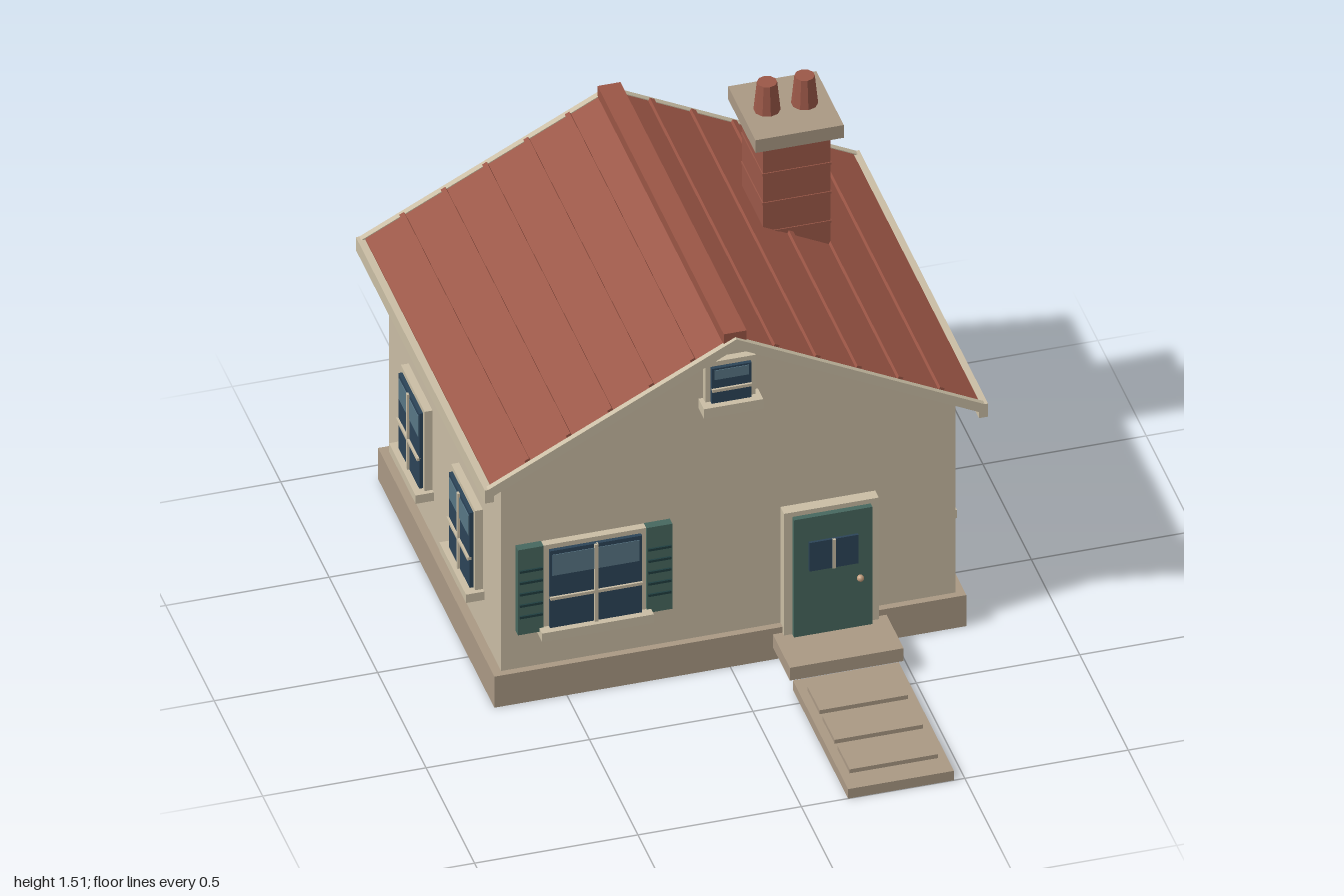
import * as THREE from 'three';

const mat = (name, color, extra = {}) => {
  const m = new THREE.MeshStandardMaterial({ color, ...extra });
  m.name = name;
  return m;
};

export function createModel() {
  const wall = mat('plaster', 0xc9bca4);
  const trim = mat('cream trim', 0xcabea5);
  const stone = mat('stone', 0xaa9984);
  const roofRed = mat('roof red', 0x9a5545);
  const brick = mat('brick', 0x9b5848, { flatShading: true });
  const teal = mat('teal paint', 0x47685f);
  const darkTeal = mat('dark teal', 0x213f40);
  const glass = mat('glass', 0x2c4458);
  const sheen = mat('pale glass', 0x587685);
  const brass = mat('brass', 0xc09c7c);

  const house = new THREE.Group();
  house.name = 'house';

  const add = (parent, name, geo, material) => {
    const m = new THREE.Mesh(geo, material);
    m.name = name;
    parent.add(m);
    return m;
  };
  // box given by its limits on each axis
  const box = (parent, name, material, x0, x1, y0, y1, z0, z1) => {
    const m = add(parent, name, new THREE.BoxGeometry(x1 - x0, y1 - y0, z1 - z0), material);
    m.position.set((x0 + x1) / 2, (y0 + y1) / 2, (z0 + z1) / 2);
    return m;
  };
  // outline in x and y, extruded from z0 to z1
  const prism = (parent, name, material, pts, z0, z1) => {
    const shape = new THREE.Shape(pts.map(([x, y]) => new THREE.Vector2(x, y)));
    const m = add(parent, name, new THREE.ExtrudeGeometry(shape, { depth: z1 - z0, bevelEnabled: false }), material);
    m.position.z = z0;
    return m;
  };

  // plinth and walls
  box(house, 'plinth', stone, -0.722, 0.722, 0, 0.112, -0.933, 0.267);
  box(house, 'walls', wall, -0.695, 0.695, 0.112, 0.83, -0.91, 0.245);
  prism(house, 'gable', wall, [[-0.695, 0.83], [0.695, 0.83], [0, 1.193]], -0.91, 0.245);

  // roof: every layer follows the same slope
  const APEX = 1.226, SLOPE = 0.512;
  const roofY = (x) => APEX - SLOPE * Math.abs(x);
  const chevron = (w, top, bottom) => [
    [-w, roofY(w) - bottom], [0, APEX - bottom], [w, roofY(w) - bottom],
    [w, roofY(w) - top], [0, APEX - top], [-w, roofY(w) - top],
  ];
  const roof = new THREE.Group();
  roof.name = 'roof';
  house.add(roof);
  prism(roof, 'roofSlab', roofRed, chevron(0.747, 0.003, 0.03), -0.98, 0.312);
  prism(roof, 'frontBargeboard', trim, chevron(0.765, 0, 0.034), 0.312, 0.33);
  prism(roof, 'backBargeboard', trim, chevron(0.765, 0, 0.034), -1, -0.98);
  box(roof, 'ridge', roofRed, -0.035, 0.035, 1.19, 1.243, -0.985, 0.318);
  for (const s of [-1, 1]) {
    const c = s * 0.756;
    box(roof, 'eaveBoard', trim, c - 0.014, c + 0.014, 0.79, 0.837, -1, 0.33);
    for (let i = 1; i <= 5; i++) {
      const x = s * 0.1265 * i;
      const course = box(roof, 'tileCourse', roofRed, -0.008, 0.008, -0.008, 0.008, -0.98, 0.312);
      course.position.x = x;
      course.position.y = roofY(x);
      course.rotation.z = -s * Math.atan(SLOPE);
    }
  }

  // chimney
  const chimney = new THREE.Group();
  chimney.name = 'chimney';
  house.add(chimney);
  box(chimney, 'chimneyStack', brick, 0.297, 0.503, 0.93, 1.367, -0.613, -0.397);
  for (const y of [1.05, 1.155, 1.26])
    box(chimney, 'brickCourse', brick, 0.294, 0.506, y - 0.004, y + 0.004, -0.616, -0.394);
  box(chimney, 'chimneyCap', stone, 0.265, 0.535, 1.365, 1.411, -0.65, -0.367);
  for (const x of [0.342, 0.457]) {
    const pot = add(chimney, 'chimneyPot', new THREE.CylinderGeometry(0.03, 0.04, 0.1, 10), brick);
    pot.position.set(x, 1.46, -0.508);
  }

  // window facing +z, with (x, y) at the bottom centre of the glass
  const addWindow = (name, x, y, z, turn, w, h, cross = true, ledge = 0.03) => {
    const g = new THREE.Group();
    g.name = name;
    const a = w / 2;
    box(g, 'frame', trim, -a - 0.016, a + 0.016, -0.012, h + 0.016, -0.005, 0.024);
    box(g, 'glass', glass, -a, a, 0, h, 0.02, 0.036);
    box(g, 'paleGlass', sheen, -a + 0.008, a - 0.008, h * 0.68, h * 0.95, 0.035, 0.038);
    box(g, 'crossBar', trim, -a, a, h * 0.39 - 0.005, h * 0.39 + 0.005, 0.03, 0.043);
    if (cross) box(g, 'uprightBar', trim, -0.006, 0.006, 0, h, 0.03, 0.043);
    box(g, 'sill', stone, -a - 0.03, a + 0.03, -ledge, 0, -0.005, 0.056).material = trim;
    g.position.set(x, y, z);
    g.rotation.y = turn;
    house.add(g);
  };
  addWindow('frontWindow', -0.415, 0.263, 0.245, 0, 0.282, 0.277);
  addWindow('gableWindow', 0, 0.972, 0.245, 0, 0.122, 0.125, false, 0.034);
  for (const s of [-1, 1]) {
    for (const z of [-0.065, -0.585])
      addWindow('sideWindow', s * 0.695, 0.28, z, s * Math.PI / 2, 0.215, 0.27);
    addWindow('backWindow', s * 0.33, 0.335, -0.91, Math.PI, 0.225, 0.265);
    // shutters with slats
    const c = -0.415 + s * 0.197;
    box(house, 'shutter', teal, c - 0.039, c + 0.039, 0.25, 0.557, 0.24, 0.272);
    for (let i = 0; i < 5; i++) {
      const y = 0.315 + i * 0.041;
      box(house, 'shutterSlat', darkTeal, c - 0.035, c + 0.035, y - 0.004, y + 0.004, 0.27, 0.278);
    }
  }

  // door
  const door = new THREE.Group();
  door.name = 'door';
  house.add(door);
  for (const x of [0.16, 0.425])
    box(door, 'doorJamb', trim, x, x + 0.025, 0.09, 0.53, 0.24, 0.282);
  box(door, 'doorHead', trim, 0.185, 0.425, 0.514, 0.53, 0.24, 0.282);
  box(door, 'doorPanel', teal, 0.185, 0.425, 0.09, 0.514, 0.24, 0.3);
  box(door, 'doorGlass', glass, 0.23, 0.38, 0.325, 0.428, 0.299, 0.308);
  box(door, 'doorGlassBar', trim, 0.3, 0.31, 0.325, 0.428, 0.305, 0.313);
  const knob = add(door, 'doorKnob', new THREE.SphereGeometry(0.011, 12, 8), brass);
  knob.position.set(0.386, 0.27, 0.308);

  // doorstep and path
  box(house, 'doorstep', stone, 0.13, 0.478, 0.045, 0.091, 0.24, 0.443);
  box(house, 'path', stone, 0.143, 0.467, 0, 0.034, 0.43, 1);
  for (let i = 0; i < 3; i++) {
    const z = 0.49 + i * 0.155;
    box(house, 'pathSlab', stone, 0.17, 0.44, 0.03, 0.048, z, z + 0.125);
  }

  return house;
}
